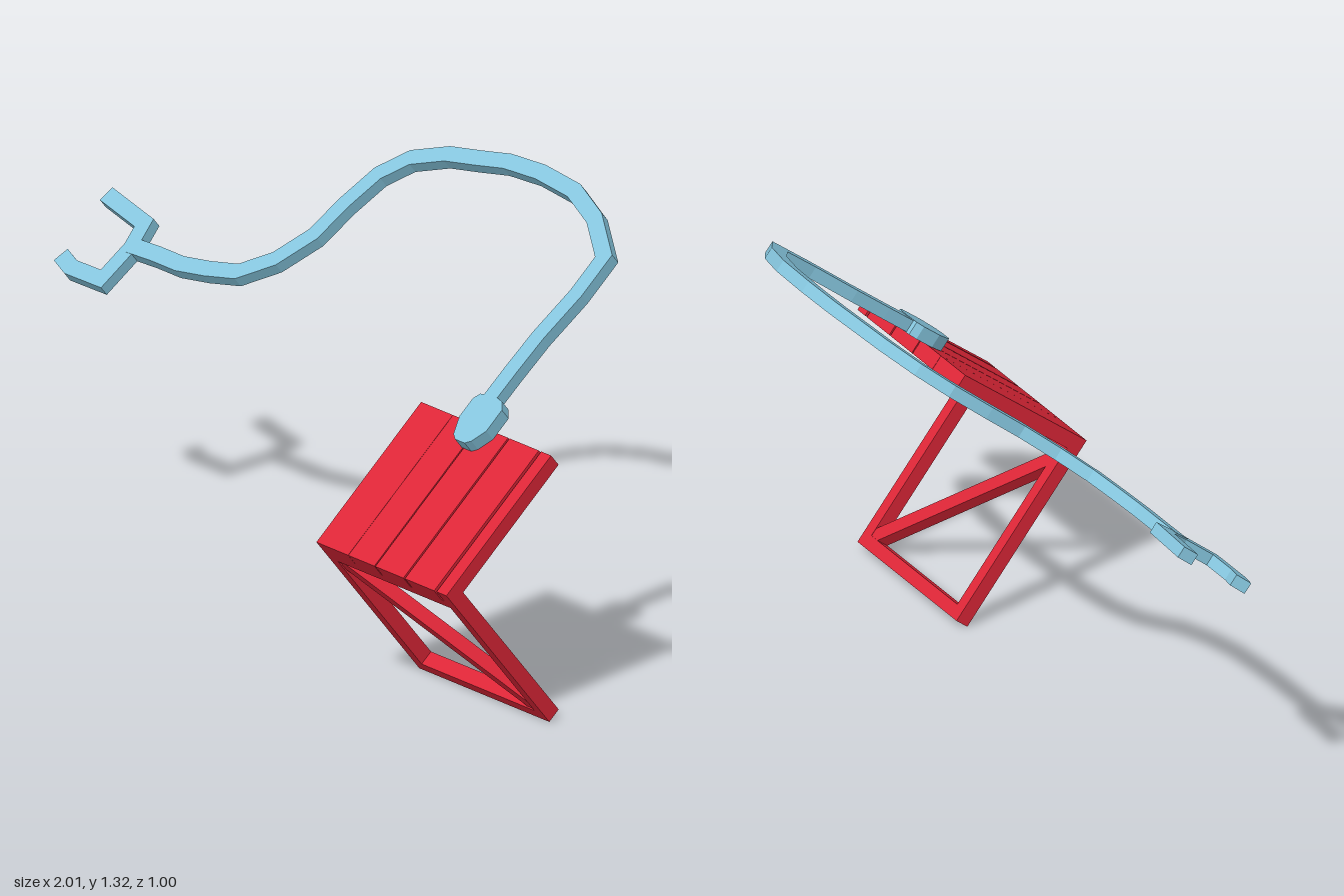
import * as THREE from 'three';

const red = new THREE.MeshStandardMaterial({ color: 0xdc2637, flatShading: true });
const blue = new THREE.MeshStandardMaterial({ color: 0x84c4dc, flatShading: true });

// Box given by its minimum and maximum corners
function bar(name, x0, x1, y0, y1, z0, z1) {
  const mesh = new THREE.Mesh(new THREE.BoxGeometry(x1 - x0, y1 - y0, z1 - z0), red);
  mesh.position.set((x0 + x1) / 2, (y0 + y1) / 2, (z0 + z1) / 2);
  mesh.name = name;
  return mesh;
}

// Flat outline lying on the seat plane, extruded upwards
function slab(name, points, y0, y1) {
  const geometry = new THREE.ExtrudeGeometry(new THREE.Shape(points), { depth: y1 - y0, bevelEnabled: false });
  geometry.rotateX(-Math.PI / 2).translate(0, y0, 0);
  const mesh = new THREE.Mesh(geometry, blue);
  mesh.name = name;
  return mesh;
}

// [x, height] pairs to points in the plane of the cord
const plane = (pairs) => pairs.map(([x, y]) => new THREE.Vector2(x, (y - 0.516) / 0.625));

// Constant-width strip along a path, with mitred corners
function strip(name, pairs, width, y0, y1) {
  const p = plane(pairs);
  const left = [], right = [];
  p.forEach((q, i) => {
    const a = p[Math.max(i - 1, 0)], b = p[Math.min(i + 1, p.length - 1)];
    const d0 = (i > 0 ? q.clone().sub(a) : b.clone().sub(q)).normalize();
    const d1 = (i < p.length - 1 ? b.clone().sub(q) : q.clone().sub(a)).normalize();
    const t = d0.clone().add(d1).normalize();
    const n = new THREE.Vector2(-t.y, t.x).multiplyScalar(width / 2 / Math.max(t.dot(d1), 0.6));
    left.push(q.clone().add(n));
    right.unshift(q.clone().sub(n));
  });
  return slab(name, [...left, ...right], y0, y1);
}

export function createModel() {
  const model = new THREE.Group();
  model.name = 'tiltedTableWithCord';

  // Everything is built upright, then tilted about the table's front edge
  const tilt = new THREE.Group();
  tilt.name = 'tiltedAssembly';
  tilt.rotation.x = 0.675;
  tilt.position.set(0, 0.485, 0.498);
  model.add(tilt);

  // Planked top
  const top = new THREE.Group();
  top.name = 'tableTop';
  [[0.457, 0.589], [0.59, 0.698], [0.702, 0.819], [0.825, 0.947], [0.957, 0.998]].forEach(([a, b]) =>
    top.add(bar('plank', a, b, -0.045, 0, -0.505, 0)));
  tilt.add(top);

  // Braced leg frame
  const frame = new THREE.Group();
  frame.name = 'legFrame';
  frame.add(
    bar('rightPost', 0.457, 0.493, -0.62, -0.045, -0.045, 0),
    bar('leftPost', 0.962, 0.998, -0.62, -0.045, -0.045, 0),
    bar('topRail', 0.493, 0.962, -0.078, -0.045, -0.045, 0),
    bar('bottomRail', 0.493, 0.962, -0.62, -0.582, -0.045, 0),
  );
  const dx = 0.485, dy = -0.51;
  const brace = bar('diagonalBrace', 0, Math.hypot(dx, dy), -0.02, 0.02, -0.02, 0.02);
  brace.position.set(0.482 + dx / 2, -0.082 + dy / 2, -0.024);
  brace.rotation.z = Math.atan2(dy, dx);
  frame.add(brace);
  tilt.add(frame);

  // Flat cord with a forked end and a plug resting on the table
  const cord = new THREE.Group();
  cord.name = 'cord';
  cord.add(strip('cordStrip', [
    [-0.8, 0.886], [-0.7, 0.889], [-0.6, 0.889], [-0.5, 0.9], [-0.4, 0.916], [-0.31, 0.965], [-0.245, 1.035],
    [-0.222, 1.11], [-0.185, 1.185], [-0.12, 1.235], [-0.01, 1.268], [0.1, 1.283], [0.2, 1.298],
    [0.33, 1.303], [0.48, 1.295], [0.61, 1.262], [0.731, 1.203], [0.731, 1.12], [0.711, 1.02],
    [0.706, 0.94], [0.704, 0.86],
  ], 0.05, 0.003, 0.04));
  cord.add(strip('forkedEnd', [
    [-1, 0.957], [-0.91, 0.946], [-0.811, 0.934], [-0.798, 0.885], [-0.815, 0.807],
    [-0.94, 0.806], [-1, 0.82],
  ], 0.05, 0.004, 0.039));
  cord.add(slab('plug', plane([
    [0.668, 0.878], [0.655, 0.865], [0.655, 0.825], [0.678, 0.79], [0.695, 0.782], [0.735, 0.782],
    [0.752, 0.79], [0.776, 0.818], [0.776, 0.865], [0.755, 0.88], [0.71, 0.886],
  ]), 0.001, 0.042));
  tilt.add(cord);

  return model;
}
